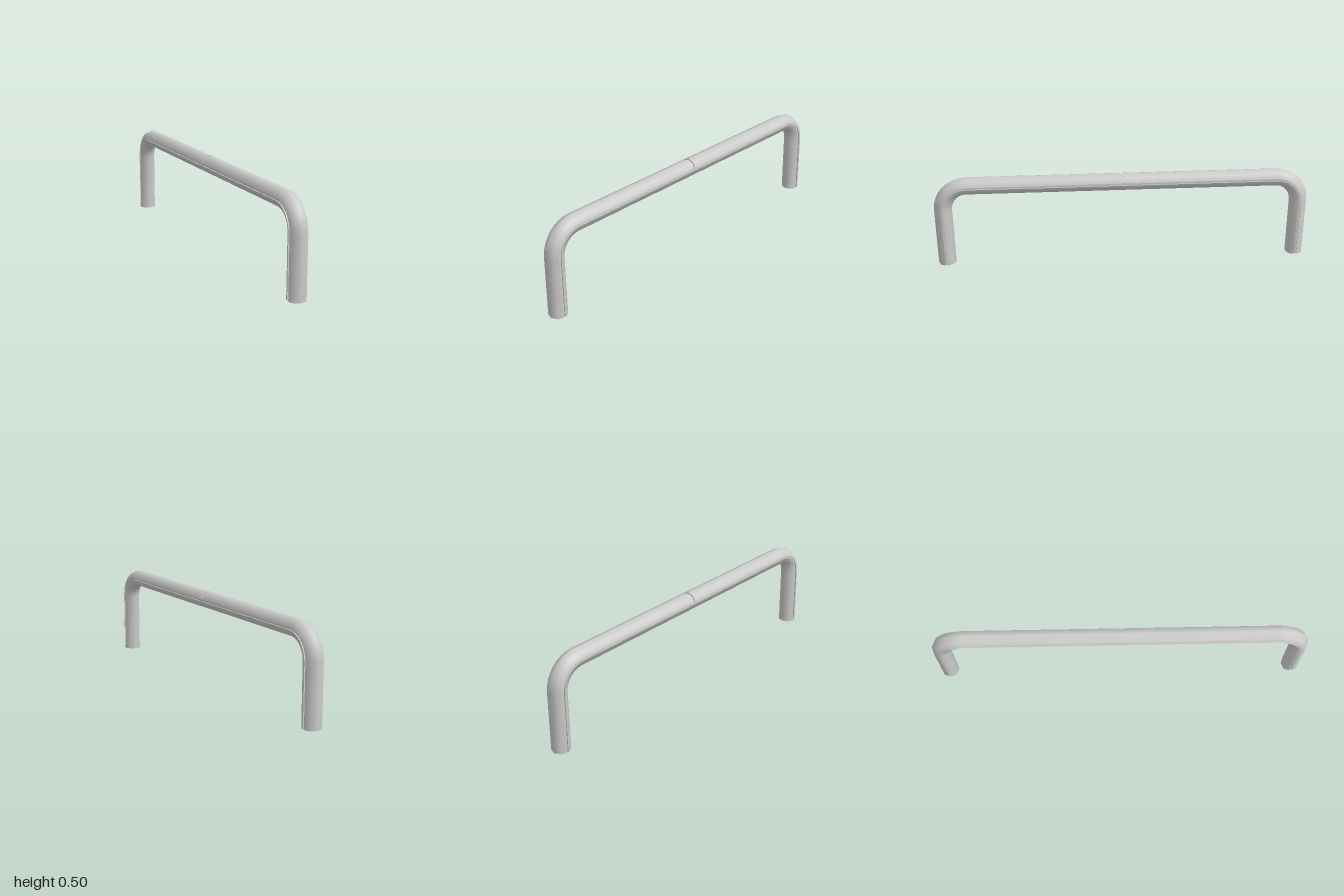
import * as THREE from 'three';
import { toCreasedNormals } from 'three/addons/utils/BufferGeometryUtils.js';

const BEND_Z = 0.82, BEND_Y = 0.32, BEND_R = 0.1325;
const GAP = 0.007; // half width of the slot in the middle of the top

// Adds the left-hand points of a half profile, mirrored in x.
const mirrorProfile = (half) =>
  [...half, ...half.filter(([x]) => x !== 0).reverse().map(([x, o]) => [-x, o])];

// Profiles as [x, outward offset from the centre line].
const shellProfile = mirrorProfile([[0.04, 0.0075], [0.046, 0.0075], [0.035, 0.0335], [0, 0.0475]]);
const slotProfile = mirrorProfile([[0.04, 0.0075], [0.04, 0.0075], [0.03, 0.029], [0, 0.041]]);
const railProfile = mirrorProfile(
  [[0.04, 0.0075], [0.04, -0.005], [0.046, -0.005], [0.035, -0.0335], [0, -0.0475]]
).reverse();

// Stations of the front half: up the leg, round the bend, in to the middle.
function frontStations(profile) {
  const stations = [{ z: BEND_Z + BEND_R, y: 0, angle: 0, profile }];
  const steps = 8;
  for (let i = 0; i <= steps; i++) {
    const angle = (i / steps) * Math.PI / 2;
    stations.push({
      z: BEND_Z + BEND_R * Math.cos(angle),
      y: BEND_Y + BEND_R * Math.sin(angle),
      angle, profile,
    });
  }
  return stations;
}

// Same stations continued down the back leg.
const withBack = (front) =>
  [...front, ...front.slice().reverse().map((s) => ({ ...s, z: -s.z, angle: Math.PI - s.angle }))];

// Skins the profiles along the stations as an open-ended strip.
function sweep(stations) {
  const positions = [], index = [];
  const n = stations[0].profile.length;
  stations.forEach(({ z, y, angle, profile }, i) => {
    for (const [x, out] of profile) {
      positions.push(x, y + out * Math.sin(angle), z + out * Math.cos(angle));
    }
    if (i === 0) return;
    for (let j = 0; j < n - 1; j++) {
      const a = (i - 1) * n + j, b = i * n + j;
      index.push(a, b, a + 1, b, b + 1, a + 1);
    }
  });
  const geometry = new THREE.BufferGeometry();
  geometry.setAttribute('position', new THREE.Float32BufferAttribute(positions, 3));
  geometry.setIndex(index);
  return toCreasedNormals(geometry, 1.0);
}

export function createModel() {
  const model = new THREE.Group();
  model.name = 'barHandle';
  const material = new THREE.MeshStandardMaterial({ color: 0xcccccc, side: THREE.DoubleSide });
  const add = (name, stations) => {
    const mesh = new THREE.Mesh(sweep(stations), material);
    mesh.name = name;
    model.add(mesh);
  };

  // Outer shell, stepping down to a narrow slot at the middle
  const top = { z: GAP, y: BEND_Y + BEND_R, angle: Math.PI / 2 };
  add('outerShell', withBack([
    ...frontStations(shellProfile),
    { ...top, profile: shellProfile },
    { ...top, profile: slotProfile },
  ]));

  // Inner rail, including the recessed side grooves
  add('innerRail', withBack(frontStations(railProfile)));

  return model;
}
